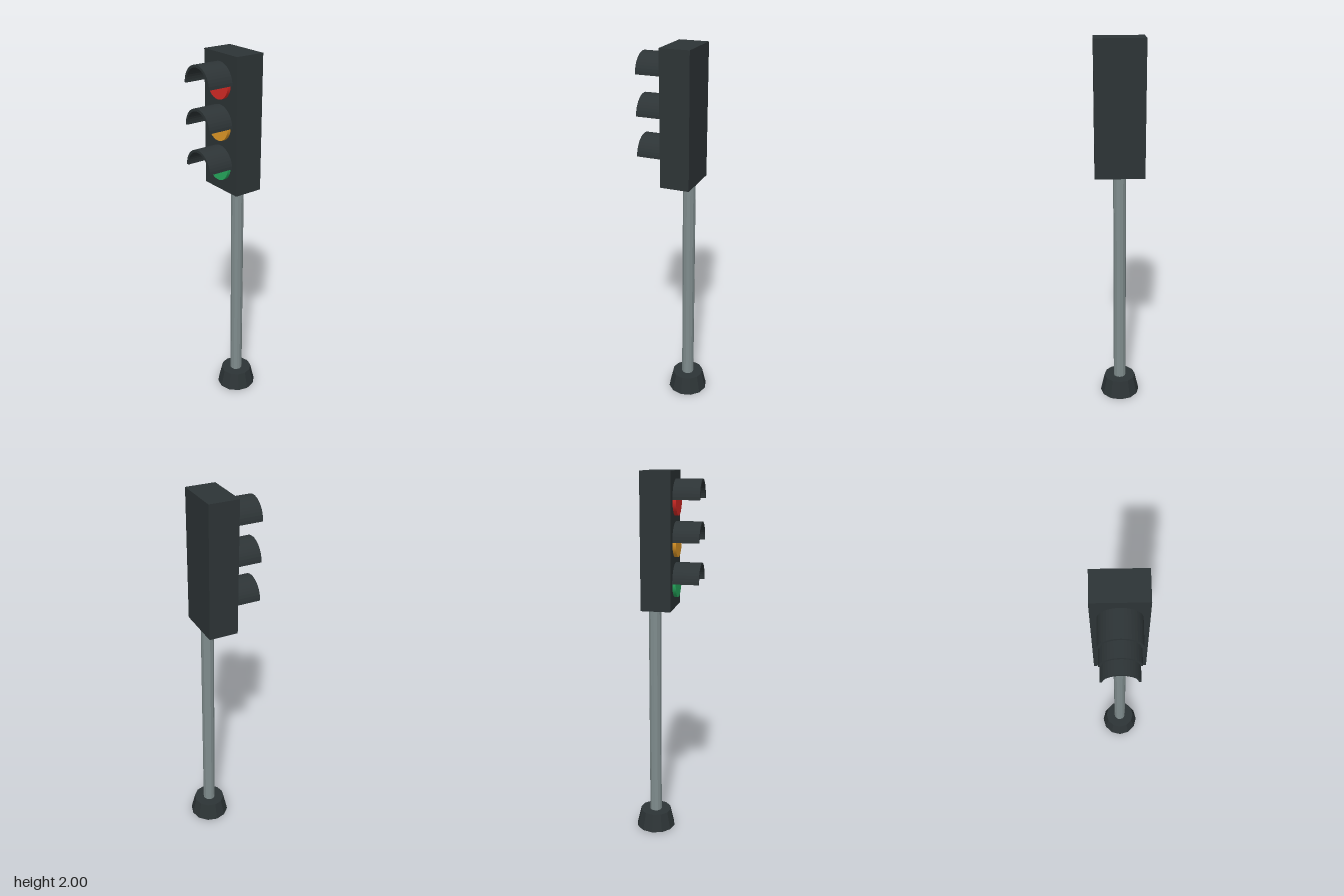
import * as THREE from 'three';

const material = (color, extra = {}) =>
  new THREE.MeshStandardMaterial({ color, ...extra });

export function createModel() {
  const model = new THREE.Group();
  const dark = material(0x2d3436, { flatShading: true });
  const steel = material(0x7f8c8d, { flatShading: true });

  const add = (name, geometry, mat, x, y, z) => {
    const mesh = new THREE.Mesh(geometry, mat);
    mesh.name = name;
    mesh.position.set(x, y, z);
    model.add(mesh);
    return mesh;
  };

  // Tapered foot and pole, set towards the back of the housing
  const poleZ = -0.07;
  add('base', new THREE.CylinderGeometry(0.087, 0.11, 0.1, 12), dark, 0, 0.05, poleZ);
  add('pole', new THREE.CylinderGeometry(0.034, 0.034, 1.22, 12), steel, 0, 0.7, poleZ);

  // Signal housing
  add('housing', new THREE.BoxGeometry(0.26, 0.7, 0.157), dark, 0, 1.65, -0.0385);

  // Half-ring hood profile, extruded forwards
  const hood = new THREE.Shape();
  hood.absarc(0, 0, 0.1, 0, Math.PI, false);
  hood.absarc(0, 0, 0.087, Math.PI, 0, true);
  hood.closePath();
  const hoodGeometry = new THREE.ExtrudeGeometry(hood, {
    depth: 0.137, bevelEnabled: false, curveSegments: 10,
  });

  // Round lens drum facing the front
  const lensGeometry = new THREE.CylinderGeometry(0.083, 0.083, 0.04, 32).rotateX(Math.PI / 2);

  const lamps = [
    ['red', 0xd92b26, 1.86],
    ['amber', 0xe59c28, 1.65],
    ['green', 0x27ae60, 1.44],
  ];
  for (const [name, color, y] of lamps) {
    add(`${name}Lens`, lensGeometry, material(color), 0, y, 0.038);
    add(`${name}Hood`, hoodGeometry, dark, 0, y, 0.043);
  }

  return model;
}
